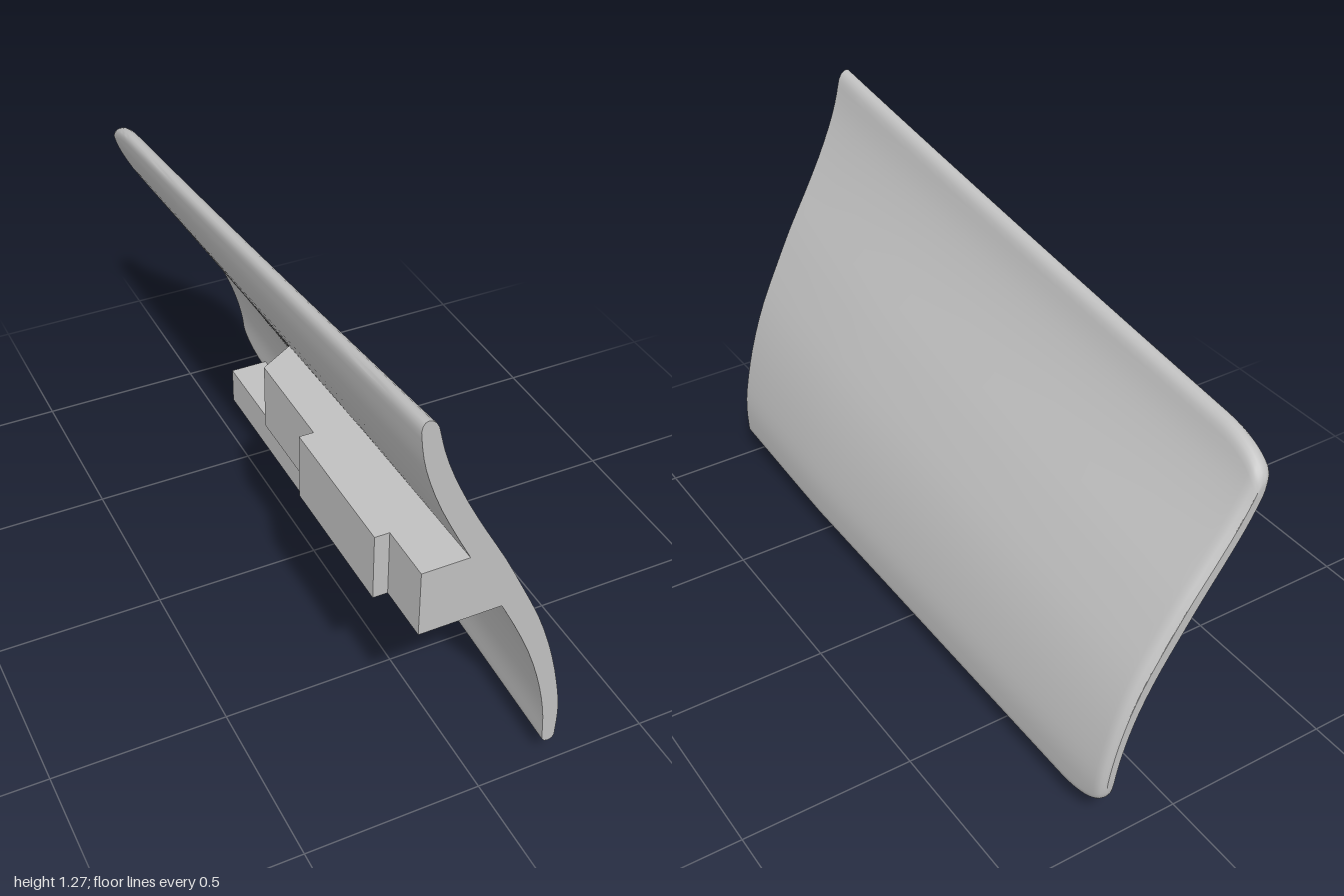
import * as THREE from 'three';
import { toCreasedNormals } from 'three/addons/utils/BufferGeometryUtils.js';

const Y0 = 0.08, HEIGHT = 1.195;

// Blade section at evenly spaced heights: inner and outer x
const inner = [0.184, 0.176, 0.152, 0.114, 0.062, 0.002, -0.058, -0.118, -0.172, -0.21, -0.226];
const outer = [0.22, 0.222, 0.203, 0.173, 0.131, 0.076, 0.018, -0.047, -0.107, -0.155, -0.185];
const section = new THREE.CatmullRomCurve3(
  inner.map((x, i) => new THREE.Vector3(x, i / 10, outer[i])), false, 'catmullrom', 0.5);

// Quarter-round falloff: 0 at the edge, 1 from distance r inwards
const round = (d, r) => {
  const k = 1 - Math.min(1, Math.max(0, d / r));
  return Math.sqrt(1 - k * k);
};

function bladeGeometry() {
  const n = 32, ring = 2 * n;
  const stations = [];
  for (let i = 0; i < 14; i++) stations.push(1 - 1.82 * i / 14);
  for (let i = 0; i <= 12; i++) stations.push(-0.82 - 0.18 * Math.sin(i / 12 * Math.PI / 2));

  const pos = [], idx = [];
  for (const z of stations) {
    const k = (1 - z) / 2;
    const q = Math.min(1, Math.max(0, (-0.82 - z) / 0.18));
    const inset = 1 - Math.sqrt(1 - q * q); // rounded rear corners
    const lo = 0.09 * inset, hi = 1 - 0.095 * inset;
    const rear = Math.max(0.45, round(z + 1, 0.03));
    const bulge = 0.017 * Math.min(1, (1 - z) / 0.5);
    for (let j = 0; j < ring; j++) {
      const m = j <= n ? j : ring - j;
      const t = lo + (hi - lo) * (0.5 - 0.5 * Math.cos(Math.PI * m / n));
      const p = section.getPoint(t);
      const edge = rear * round((t - lo) * HEIGHT, 0.016) * round((hi - t) * HEIGHT, 0.03);
      const half = (p.z - p.x) / 2 * edge * (j <= n ? 1 : -1);
      const drop = (0.26 * k - 0.03 * k * k) * Math.pow(t, 1.55);
      pos.push((p.x + p.z) / 2 + half + bulge * (1 - t), Y0 + t * HEIGHT - drop, z);
    }
  }
  // Skin
  for (let i = 0; i < stations.length - 1; i++) {
    for (let j = 0; j < ring; j++) {
      const a = i * ring + j, b = i * ring + (j + 1) % ring;
      idx.push(a, a + ring, b, b, a + ring, b + ring);
    }
  }
  // Front and rear end faces
  const last = (stations.length - 1) * ring;
  for (let j = 0; j < n; j++) {
    const o = j, o1 = j + 1, i0 = (ring - j) % ring, i1 = ring - j - 1;
    idx.push(i0, o, o1, i0, o1, i1);
    idx.push(last + i0, last + o1, last + o, last + i0, last + i1, last + o1);
  }
  const g = new THREE.BufferGeometry();
  g.setAttribute('position', new THREE.Float32BufferAttribute(pos, 3));
  g.setIndex(idx);
  return toCreasedNormals(g, 0.8);
}

const polygon = (pts) => new THREE.Shape(pts.map(([a, b]) => new THREE.Vector2(a, b)));

// Stepped block whose inner side leans with the blade
function upperBracketGeometry() {
  const footprint = [[0, -1], [0, -0.035], [-0.205, -0.125], [-0.205, -0.43],
    [-0.245, -0.43], [-0.245, -0.845], [-0.205, -0.845], [-0.205, -1]];
  const g = new THREE.ExtrudeGeometry(polygon(footprint), { depth: 0.193, bevelEnabled: false });
  g.rotateX(-Math.PI / 2).translate(0, 0.642, 0);
  const p = g.attributes.position;
  for (let i = 0; i < p.count; i++) {
    if (p.getX(i) > -0.01) p.setX(i, p.getY(i) > 0.7 ? -0.055 : 0.045);
  }
  g.computeVertexNormals();
  return g;
}

// Angle rail with its lower leg cut back at the front
function lowerBracketGeometry() {
  const profile = [[0.077, 0], [0.125, 0], [0.125, 0.08], [0.2, 0.08], [0.2, 0.122], [0.077, 0.122], [0.077, 0.08]];
  const g = new THREE.ExtrudeGeometry(polygon(profile), { depth: 0.88, bevelEnabled: false });
  g.translate(0, 0, -0.8);
  const p = g.attributes.position;
  for (let i = 0; i < p.count; i++) {
    if (p.getY(i) < 0.01 && p.getZ(i) > 0) p.setZ(i, 0);
  }
  g.computeVertexNormals();
  return g;
}

export function createModel() {
  const grey = new THREE.MeshStandardMaterial({ color: 0xc0c0c0 });
  grey.name = 'light grey';

  const group = new THREE.Group();
  group.name = 'curvedPanel';
  const add = (name, geometry) => {
    const mesh = new THREE.Mesh(geometry, grey);
    mesh.name = name;
    group.add(mesh);
  };
  add('blade', bladeGeometry());
  add('upperBracket', upperBracketGeometry());
  add('lowerBracket', lowerBracketGeometry());
  return group;
}
